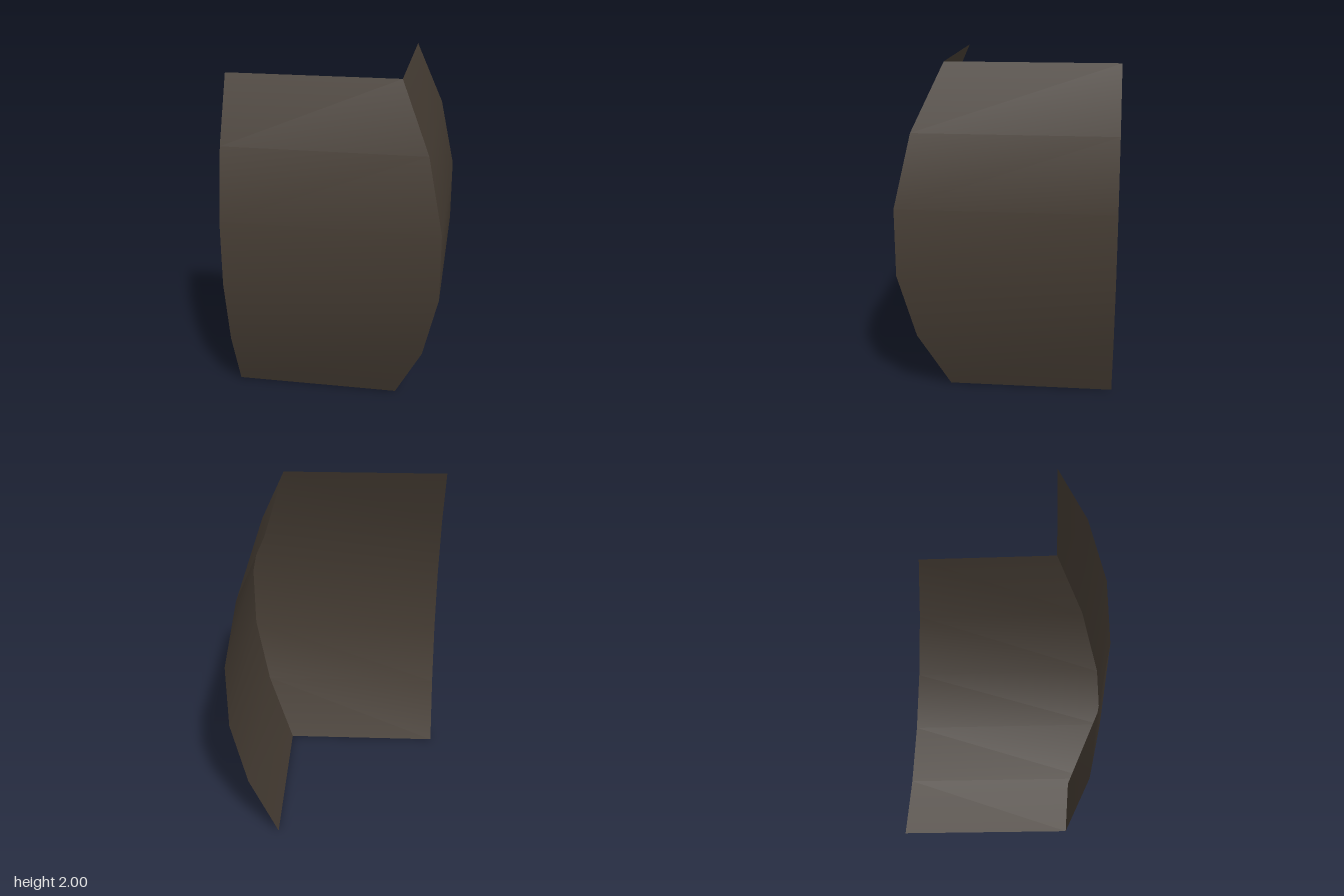
import * as THREE from 'three';

// Bowed cross-section: [height, distance outward from the centre]
const PROFILE = [[0, 0.37], [0.39, 0.54], [0.8, 0.63], [1.2, 0.63], [1.62, 0.54], [2, 0.37]];
const END = -0.63; // straight free edge of each wing

// Smooth sheet swept between a left and a right edge
function sheet(name, material, leftEdge, rightEdge) {
  const positions = [];
  const index = [];
  PROFILE.forEach(([y, out], i) => {
    positions.push(...leftEdge(y, out), ...rightEdge(y, out));
    if (i > 0) {
      const a = 2 * (i - 1);
      index.push(a, a + 1, a + 3, a, a + 3, a + 2);
    }
  });
  const geometry = new THREE.BufferGeometry();
  geometry.setAttribute('position', new THREE.Float32BufferAttribute(positions, 3));
  geometry.setIndex(index);
  geometry.computeVertexNormals();
  const mesh = new THREE.Mesh(geometry, material);
  mesh.name = name;
  return mesh;
}

export function createModel() {
  const group = new THREE.Group();
  group.name = 'curvedCornerPanel';

  const darkBrown = new THREE.MeshStandardMaterial({ color: 0x443b32, side: THREE.DoubleSide });
  darkBrown.name = 'darkBrown';

  // Both wings share the mitred corner edge, where x equals z
  const corner = (y, out) => [out, y, out];
  group.add(
    sheet('frontWing', darkBrown, (y, out) => [END, y, out], corner),
    sheet('sideWing', darkBrown, corner, (y, out) => [out, y, END]),
  );
  return group;
}
